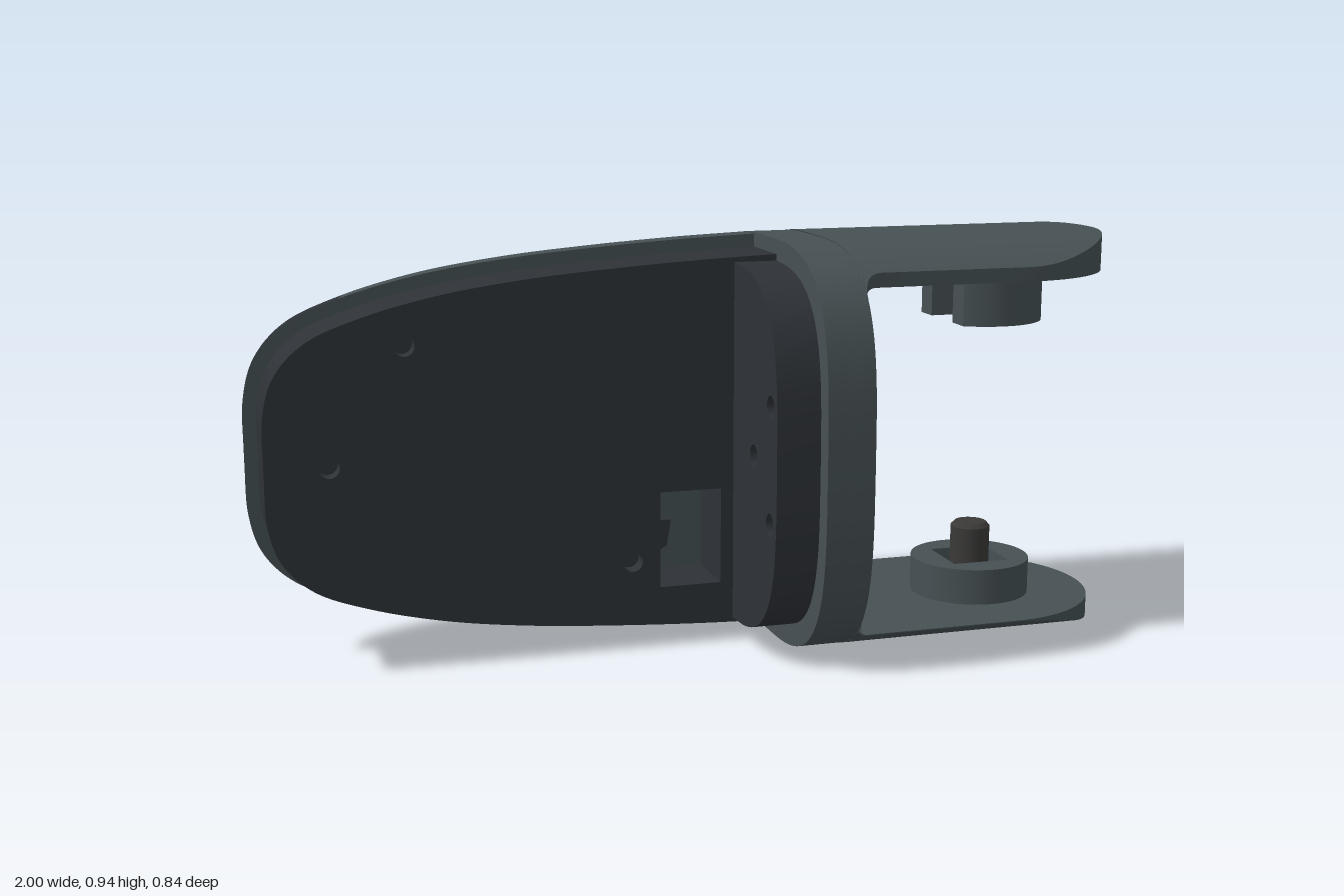
import * as THREE from 'three';
import { toCreasedNormals } from 'three/addons/utils/BufferGeometryUtils.js';

const MID = 0.47; // height of the symmetry plane
const SPLIT = -0.09; // z of the flat face of the rear shell
const light = new THREE.MeshStandardMaterial({ color: 0x465053, side: THREE.DoubleSide });
const dark = new THREE.MeshStandardMaterial({ color: 0x2e3237, side: THREE.DoubleSide });
const steel = new THREE.MeshStandardMaterial({ color: 0x3a3938 });

function mesh(name, geo, mat) {
  // creasing works on a coarse grid, so it is done at a larger scale
  const g = toCreasedNormals(geo.scale(100, 100, 100), 0.6).scale(0.01, 0.01, 0.01);
  const m = new THREE.Mesh(g, mat);
  m.name = name;
  return m;
}

// skin between rings of [x, y, z] points
function loft(rings) {
  const n = rings[0].length, index = [];
  for (let i = 0; i < rings.length - 1; i++)
    for (let j = 0; j < n - 1; j++) {
      const a = i * n + j, b = a + n;
      index.push(a, a + 1, b, b, a + 1, b + 1);
    }
  const g = new THREE.BufferGeometry();
  g.setAttribute('position', new THREE.Float32BufferAttribute(rings.flat(2), 3));
  g.setIndex(index);
  return g;
}

function interp(table, x) {
  if (x <= table[0][0]) return table[0][1];
  for (let i = 1; i < table.length; i++) {
    const [x0, y0] = table[i - 1], [x1, y1] = table[i];
    if (x <= x1) return y0 + (y1 - y0) * (x - x0) / (x1 - x0);
  }
  return table[table.length - 1][1];
}

const circle = (x, y, r) => new THREE.Path().absarc(x, y, r, 0, Math.PI * 2, true);
const power = (v, p) => Math.sign(v) * Math.abs(v) ** p;
const root = v => Math.sqrt(Math.max(0, v)); // safe against rounding below zero
const extrude = (shape, depth) =>
  new THREE.ExtrudeGeometry(shape, { depth, bevelEnabled: false, curveSegments: 32 });

// rounded cross-section in the (-z, y) plane, optionally clipped at z >= zMin
function sectionShape(a, b, zMin = -1) {
  const pts = [];
  for (let i = 0; i < 96; i++) {
    const t = i / 96 * Math.PI * 2;
    pts.push(new THREE.Vector2(Math.min(a * power(Math.cos(t), 2 / 3.4), -zMin),
      MID + b * power(Math.sin(t), 2 / 3.4)));
  }
  return new THREE.Shape(pts);
}

// slab across x with holes given as [z, y, radius]
function slab(name, shape, x0, x1, holes, mat) {
  holes.forEach(([z, y, r]) => shape.holes.push(circle(-z, y, r)));
  return mesh(name, extrude(shape, x1 - x0).rotateY(Math.PI / 2).translate(x0, 0, 0), mat);
}

// upright part from a plan shape (x, -z) placed at a height
const upright = (name, shape, x, y, z, h, mat) =>
  mesh(name, extrude(shape, h).rotateX(-Math.PI / 2).translate(x, y, z), mat);

// half height and depth of the shell along x
const shellCurve = new THREE.CatmullRomCurve3([
  [-1, 0, 0.09], [-0.997, 0.13, 0.1], [-0.97, 0.22, 0.145], [-0.9, 0.295, 0.21], [-0.78, 0.347, 0.268],
  [-0.6, 0.394, 0.326], [-0.4, 0.424, 0.364], [-0.2, 0.442, 0.388], [0, 0.455, 0.403], [0.19, 0.463, 0.415],
].map(p => new THREE.Vector3(...p)), false, 'centripetal');
const stations = shellCurve.getPoints(135);

// angular edge of the dark pad along x, in degrees
const padEdge = [[-0.78, 90], [-0.75, 79], [-0.7, 68], [-0.6, 57], [-0.5, 47], [-0.3, 34], [-0.2, 30],
  [-0.15, 26], [-0.12, 19], [-0.105, 11], [-0.1, 0]];

// part of the shell between x0 and x1 and between two angles around it
function shellSkin(x0, x1, from, to, steps) {
  return loft(stations.filter(p => p.x >= x0 && p.x <= x1).map(({ x, y: h, z: d }) => {
    const e = interp(padEdge, x) * Math.PI / 180, ring = [];
    for (let j = 0; j <= steps; j++) {
      const a = THREE.MathUtils.lerp(from(e), to(e), j / steps);
      ring.push([x, MID + h * power(Math.sin(a), 2 / 2.9),
        SPLIT - (d - 0.09) * Math.max(0, Math.cos(a)) ** (2 / 2.9)]);
    }
    return ring;
  }));
}

// front outline of the body, shrunk by an inset
function bodyOutline(inset) {
  const top = stations.map(p => new THREE.Vector2(
    p.x + inset * (0.19 - p.x) / 1.19, p.y * (1 - inset * 2.2)));
  const low = top.slice(1).reverse().map(p => new THREE.Vector2(p.x, MID - p.y));
  return new THREE.Shape([...top.map(p => new THREE.Vector2(p.x, MID + p.y)), ...low]);
}

// arm with a round end; side +1 is the upper one, -1 the lower one
function arm(name, side, inner) {
  const rings = [], zc = 0.015, r = 0.293, xc = 0.707, fil = 0.05, xs = [];
  for (let i = 0; i <= 8; i++) xs.push(0.3 + fil * (1 - Math.cos(i / 8 * Math.PI / 2)));
  for (let i = 1; i <= 6; i++) xs.push(0.35 + (xc - 0.35) * i / 6);
  for (let i = 1; i <= 24; i++) xs.push(xc + r * Math.sin(i / 24 * Math.PI / 2));
  for (const x of xs) {
    let w = r;
    if (x < 0.35) w = r + fil - root(fil ** 2 - (0.35 - x) ** 2);
    if (x > xc) w = root(r * r - (x - xc) ** 2);
    const k = Math.max(0, 0.33 - x);
    const floor = inner - side * (0.03 - root(0.0009 - k * k));
    const ring = [];
    for (let j = 0; j <= 24; j++) {
      const z = zc + w * (j / 12 - 1);
      ring.push([x, MID + side * 0.468 * (1 - Math.abs(z / 0.42) ** 3.4) ** (1 / 3.4), z]);
    }
    ring.push([x, floor, zc + w], [x, floor, zc - w], ring[0]);
    rings.push(side > 0 ? ring : ring.reverse());
  }
  return mesh(name, loft(rings), light);
}

export function createModel() {
  const model = new THREE.Group();
  model.name = 'yokeBody';
  const H = Math.PI / 2;

  // rear shell with its wraparound pad and flat face
  model.add(
    mesh('rearPad', shellSkin(-1, -0.085, e => -e, e => e, 48), dark),
    mesh('shellTop', shellSkin(-0.795, 0.2, e => e, () => H, 24), light),
    mesh('shellBottom', shellSkin(-0.795, 0.2, () => -H, e => -e, 24), light),
    mesh('shellFace', new THREE.ShapeGeometry(bodyOutline(0)).translate(0, 0, SPLIT), light));

  // front plate with a port opening and screw holes
  const screws = [[-0.66, 0.73], [-0.83, 0.47], [-0.15, 0.205]];
  const plate = bodyOutline(0.03);
  screws.forEach(([x, y]) => plate.holes.push(circle(x, y, 0.023)));
  plate.holes.push(new THREE.Path([[-0.085, 0.14], [0.06, 0.14], [0.06, 0.365], [-0.085, 0.365], [-0.085, 0.3],
    [-0.06, 0.3], [-0.07, 0.24], [-0.085, 0.23]].map(p => new THREE.Vector2(...p))));
  model.add(mesh('frontPlate', extrude(plate, 0.16).translate(0, 0, SPLIT), dark));
  for (const [x, y] of screws)
    model.add(mesh('plateScrew', new THREE.CircleGeometry(0.023, 24).translate(x, y, 0.03), dark));

  // layered mounting flange: bolt holes go through, socket holes are blind
  const bolts = [[0.33, 0.603], [0.33, 0.34], [0.217, 0.472]];
  const sockets = [0.378, 0.472, 0.566].map(y => [-0.266, y, 0.024]);
  const bored = r => bolts.map(([z, y]) => [z, y, r]);
  model.add(
    slab('innerFlange', sectionShape(0.375, 0.418, SPLIT), 0.09, 0.19, bored(0.025), dark),
    slab('flangeBack', sectionShape(0.42, 0.467), 0.19, 0.24, bored(0.034), light),
    slab('flangeFront', sectionShape(0.42, 0.467), 0.24, 0.3, [...bored(0.058), ...sockets], light));

  // arms
  model.add(arm('upperArm', 1, 0.85), arm('lowerArm', -1, 0.06));

  // upper bearing: flat on the inner side, with a slot open towards the flange
  const cut = Math.acos(-0.09 / 0.15);
  const bearing = new THREE.Shape();
  bearing.absarc(0, 0, 0.15, -cut, cut, false);
  bearing.lineTo(-0.09, 0.06);
  bearing.absarc(0, 0, 0.06, H, -H, true);
  bearing.lineTo(-0.09, -0.06);
  model.add(
    upright('upperBearing', bearing, 0.71, 0.73, 0.03, 0.125, light),
    mesh('upperWasher', new THREE.CylinderGeometry(0.19, 0.19, 0.01, 48).translate(0.71, 0.848, 0.03), light));

  // lower hub with a square pocket, pin and screw head underneath
  const hub = new THREE.Shape().absarc(0, 0, 0.142, 0, H * 4);
  hub.holes.push(new THREE.Path([[-0.07, -0.07], [-0.07, 0.07], [0.07, 0.07], [0.07, -0.07]]
    .map(p => new THREE.Vector2(...p))));
  const pin = [[0, 0.05], [0.047, 0.05], [0.047, 0.22], [0.038, 0.23], [0, 0.23]];
  model.add(
    upright('lowerHub', hub, 0.71, 0.055, 0.03, 0.09, light),
    mesh('pin', new THREE.LatheGeometry(pin.map(p => new THREE.Vector2(...p)), 32).translate(0.71, 0, 0.03), steel),
    mesh('screwHead', new THREE.CylinderGeometry(0.09, 0.09, 0.01, 32).translate(0.71, 0.006, 0.03), dark),
    mesh('screwTip', new THREE.CylinderGeometry(0.025, 0.025, 0.01, 24).translate(0.71, 0.005, 0.03), steel));

  return model;
}
